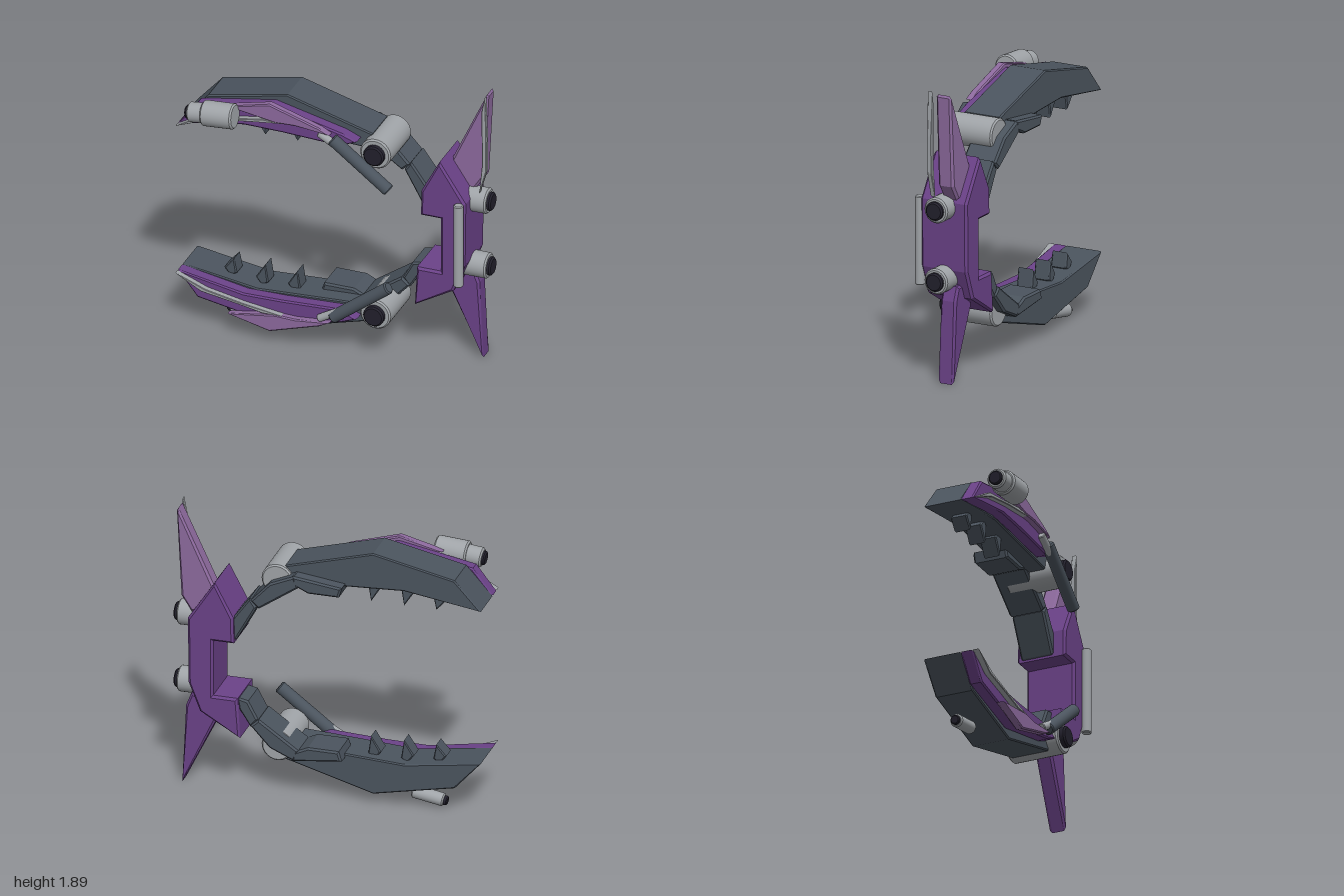
import * as THREE from 'three';

const mat = (name, color) => {
  const m = new THREE.MeshStandardMaterial({ color });
  m.name = name;
  return m;
};

export function createModel() {
  const purple = mat('purple', 0x6b4288);
  const lilac = mat('lilac', 0x8d6a9e);
  const slate = mat('slate', 0x4b545e);
  const grey = mat('grey', 0xa0a4a8);
  const black = mat('black', 0x22202c);
  const root = new THREE.Group();
  root.name = 'clawShip';

  const add = (parent, name, geo, material) => {
    const mesh = new THREE.Mesh(geo, material);
    mesh.name = name;
    parent.add(mesh);
    return mesh;
  };

  // Flat outline extruded from z0 to z1 with a small chamfer kept inside the outline
  const plate = (parent, name, pts, z0, z1, material, b = 0.012) => {
    const shape = new THREE.Shape(pts.map(p => new THREE.Vector2(p[0], p[1])));
    const geo = new THREE.ExtrudeGeometry(shape, {
      depth: z1 - z0 - 2 * b, bevelEnabled: b > 0, bevelThickness: b,
      bevelSize: b, bevelOffset: -b, bevelSegments: 1,
    });
    geo.translate(0, 0, z0 + b);
    return add(parent, name, geo, material);
  };

  // Cylinder between two points, with slightly rounded rims
  const rod = (parent, name, a, b, r, material) => {
    const from = new THREE.Vector3(...a), to = new THREE.Vector3(...b);
    const len = from.distanceTo(to), h = len / 2, e = Math.min(0.01, r * 0.2, len * 0.2);
    const profile = [[0, -h], [r - e, -h], [r - e, -h], [r, -h + e], [r, -h + e],
      [r, h - e], [r, h - e], [r - e, h], [r - e, h], [0, h]];
    const geo = new THREE.LatheGeometry(profile.map(p => new THREE.Vector2(...p)), 28);
    const mesh = add(parent, name, geo, material);
    mesh.position.copy(from).add(to).multiplyScalar(0.5);
    mesh.quaternion.setFromUnitVectors(new THREE.Vector3(0, 1, 0), to.sub(from).normalize());
    return mesh;
  };

  // Hull core with fins
  plate(root, 'core', [[0.70, 1.425], [0.58, 1.2], [0.575, 1.025], [0.71, 1.025], [0.71, 0.65],
    [0.55, 0.65], [0.535, 0.38], [0.795, 0.53], [0.87, 0.72], [0.875, 1.16]], -0.315, 0.015, purple, 0.015);
  plate(root, 'upperFin', [[0.955, 1.875], [0.715, 1.36], [0.74, 1.2], [0.87, 1.18], [0.935, 1.28],
    [0.965, 1.86]], -0.255, -0.145, lilac, 0.015);
  plate(root, 'lowerFin', [[0.93, 0], [0.70, 0.47], [0.78, 0.62], [0.87, 0.62], [0.905, 0.53]],
    -0.255, -0.145, purple, 0.015);
  plate(root, 'antennaBlade', [[0.965, 1.89], [0.942, 1.78], [0.945, 1.4], [0.928, 1.2], [0.975, 1.36],
    [0.977, 1.6]], -0.122, -0.09, grey, 0.005);
  rod(root, 'frontBar', [0.84, 0.59, 0.038], [0.84, 1.165, 0.038], 0.031, grey);

  // Rear thrusters
  for (const y of [1.125, 0.665]) {
    rod(root, 'thruster', [0.8, y, -0.15], [0.975, y, -0.15], 0.083, grey);
    rod(root, 'thrusterNozzle', [0.95, y, -0.15], [1.0, y, -0.15], 0.06, black);
  }

  // Two claws: coordinates describe the lower one, the upper is its mirror about y = 0.895
  for (const upper of [false, true]) {
    const claw = new THREE.Group();
    claw.name = upper ? 'upperClaw' : 'lowerClaw';
    root.add(claw);
    const fy = y => (upper ? 1.79 - y : y);
    const mp = (name, pts, z0, z1, m, b) => plate(claw, name, pts.map(p => [p[0], fy(p[1])]), z0, z1, m, b);
    const mr = (name, a, b, r, m) => rod(claw, name, [a[0], fy(a[1]), a[2]], [b[0], fy(b[1]), b[2]], r, m);

    mp('clawBody', [[-1, 0.373], [-0.83, 0.182], [-0.30, 0.07], [0.27, 0.23], [0.27, 0.34],
      [0.05, 0.33], [-0.5, 0.30]], -0.207, 0.05, slate, 0.008);
    mp('clawSidePanel', [[-1, 0.373], [-0.87, 0.205], [-0.37, 0.115], [0.1, 0.225], [0.195, 0.265],
      [0.08, 0.315], [-0.3, 0.298], [-0.56, 0.295]], 0.045, 0.132, purple, 0.01);
    mp('clawTrim', [[-0.65, 0.158], [-0.37, 0.088], [-0.04, 0.19], [0.03, 0.228], [-0.2, 0.208],
      [-0.33, 0.213]], 0.125, 0.177, lilac, 0.008);
    mp('clawBlade', [[-1, 0.372], [-0.83, 0.275], [-0.6, 0.238], [-0.42, 0.205], [-0.28, 0.21],
      [-0.55, 0.247], [-0.8, 0.295]], 0.13, 0.172, grey, 0.004);

    // Teeth on the inner edge
    [[-0.69, 0.335], [-0.48, 0.31], [-0.265, 0.305]].forEach(([x, y]) =>
      mp('tooth', [[x - 0.065, y + 0.025], [x, 0.432], [x + 0.02, y], [x - 0.02, y - 0.03]],
        -0.14, -0.03, slate, 0.008));

    // Jointed arm linking the claw to the core
    mp('innerPlate', [[-0.12, 0.30], [-0.1, 0.366], [0.1, 0.366], [0.2, 0.32], [0.2, 0.26]],
      -0.29, -0.06, slate);
    mp('armSegment', [[0.19, 0.26], [0.16, 0.335], [0.42, 0.515], [0.475, 0.465], [0.35, 0.33]],
      -0.29, -0.06, slate);
    mp('wristSegment', upper
      ? [[0.435, 0.51], [0.48, 0.45], [0.59, 0.6], [0.595, 0.76], [0.565, 0.745]]
      : [[0.425, 0.51], [0.475, 0.455], [0.55, 0.57], [0.56, 0.645], [0.49, 0.63]],
    -0.285, -0.065, slate);

    // Hinge drum and piston
    mr('hingeDrum', [0.318, 0.325, -0.23], [0.318, 0.325, 0.128], 0.102, grey);
    mr('hingeCap', [0.318, 0.325, 0.1], [0.318, 0.325, 0.165], 0.068, black);
    mr('pistonSleeve', [0.04, 0.26, 0.15], [0.42, 0.55, 0.15], 0.04, slate);
    mr('pistonRod', [-0.05, 0.235, 0.15], [0.15, 0.35, 0.15], 0.025, grey);
  }

  // Guns
  rod(root, 'upperGunBody', [-0.575, 1.605, 0.235], [-0.785, 1.59, 0.235], 0.082, grey);
  rod(root, 'upperGunBarrel', [-0.77, 1.59, 0.235], [-0.88, 1.577, 0.235], 0.064, grey);
  rod(root, 'upperGunMuzzle', [-0.86, 1.579, 0.235], [-0.9, 1.575, 0.235], 0.045, black);
  rod(root, 'lowerGunBody', [-0.53, 0.083, -0.11], [-0.735, 0.048, -0.11], 0.042, grey);
  rod(root, 'lowerGunMuzzle', [-0.72, 0.05, -0.11], [-0.757, 0.044, -0.11], 0.03, black);

  return root;
}
